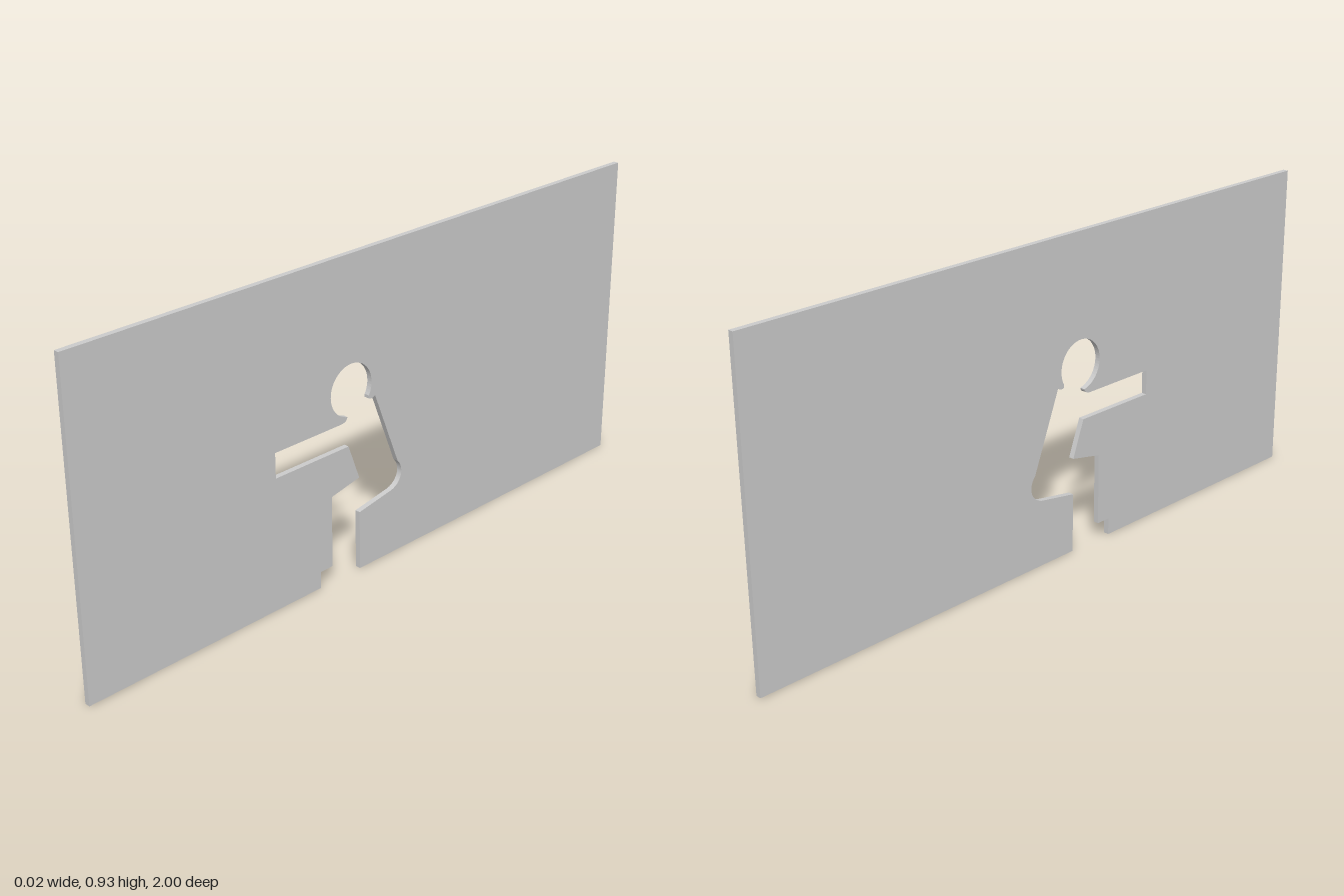
import * as THREE from 'three';

const HEIGHT = 0.93, THICKNESS = 0.016;

export function createModel() {
  const group = new THREE.Group();
  group.name = 'cutoutPanel';

  // Panel outline drawn with shape x = model z; the seated figure is open at the bottom edge
  const s = new THREE.Shape();
  s.moveTo(-1, 0);
  // back of leg, thigh and hip
  s.lineTo(0.08, 0);
  s.lineTo(0.08, 0.176);
  s.lineTo(-0.04, 0.197);
  s.bezierCurveTo(-0.066, 0.202, -0.083, 0.222, -0.083, 0.245);
  s.quadraticCurveTo(-0.082, 0.265, -0.068, 0.28);
  // back and nape
  s.lineTo(0.02, 0.508);
  s.quadraticCurveTo(0.032, 0.499, 0.043, 0.505);
  // head
  s.absarc(0.108, 0.551, 0.075, THREE.MathUtils.degToRad(210), THREE.MathUtils.degToRad(-78), true);
  // throat and outstretched arm
  s.quadraticCurveTo(0.124, 0.465, 0.145, 0.463);
  s.lineTo(0.38, 0.463);
  s.lineTo(0.38, 0.39);
  s.lineTo(0.12, 0.39);
  // belly, lap, shin and foot
  s.lineTo(0.081, 0.283);
  s.lineTo(0.184, 0.262);
  s.lineTo(0.184, 0.05);
  s.lineTo(0.228, 0.05);
  s.lineTo(0.228, 0);
  // outer border
  s.lineTo(1, 0);
  s.lineTo(1, HEIGHT);
  s.lineTo(-1, HEIGHT);
  s.closePath();

  const geometry = new THREE.ExtrudeGeometry(s, { depth: THICKNESS, bevelEnabled: false, curveSegments: 24 });
  geometry.translate(0, 0, -THICKNESS / 2);
  geometry.rotateY(-Math.PI / 2);

  const panel = new THREE.Mesh(geometry, new THREE.MeshStandardMaterial({ color: 0xcccccc }));
  panel.name = 'panel';
  group.add(panel);
  return group;
}
